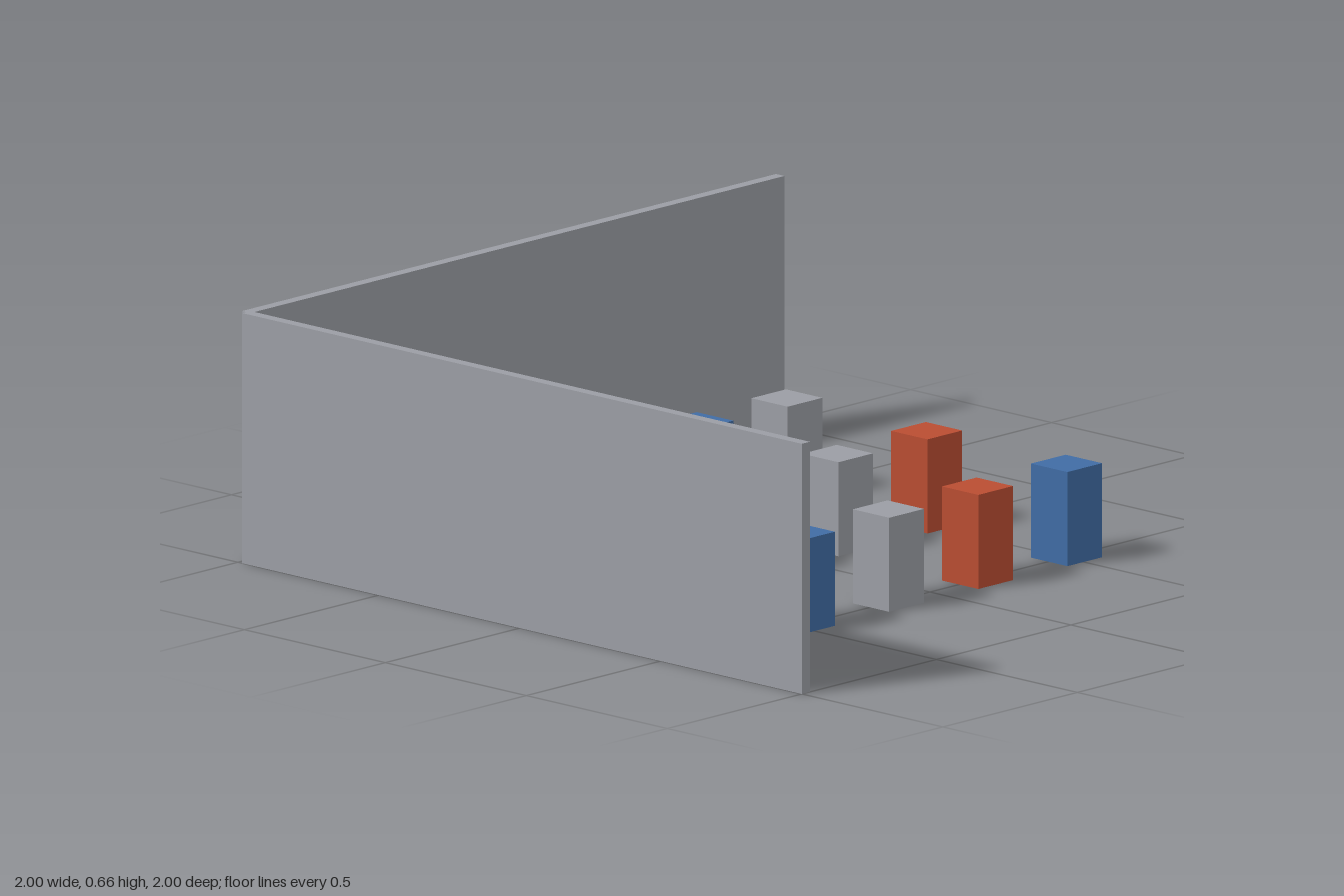
import * as THREE from 'three';

const material = (name, color) => {
  const m = new THREE.MeshStandardMaterial({ color });
  m.name = name;
  return m;
};

export function createModel() {
  const group = new THREE.Group();
  const grey = material('grey', 0x9b9da4);
  const red = material('red', 0xb94d32);
  const blue = material('blue', 0x406ca4);

  // Box standing on the floor, centred on x and z
  const block = (name, w, h, d, x, z, mat) => {
    const mesh = new THREE.Mesh(new THREE.BoxGeometry(w, h, d), mat);
    mesh.name = name;
    mesh.position.set(x, h / 2, z);
    group.add(mesh);
  };

  // Two thin walls whose centre lines meet at the back corner
  const length = 1.985, height = 0.662, thickness = 0.03, offset = 0.0075;
  const edge = -1 + thickness / 2;
  block('backWall', length, height, thickness, offset, edge, grey);
  block('sideWall', thickness, height, length, edge, offset, grey);

  // Grid of pillars, colours cycling along each diagonal
  const colours = [grey, red, blue];
  for (let row = 0; row < 3; row++) {
    for (let col = 0; col < 4; col++) {
      const x = offset + (col - 1.5) * 0.331;
      const z = offset + (row - 1) * 0.496;
      block(`pillar_${row + 1}_${col + 1}`, 0.129, 0.249, 0.129, x, z, colours[(row + col) % 3]);
    }
  }
  return group;
}
